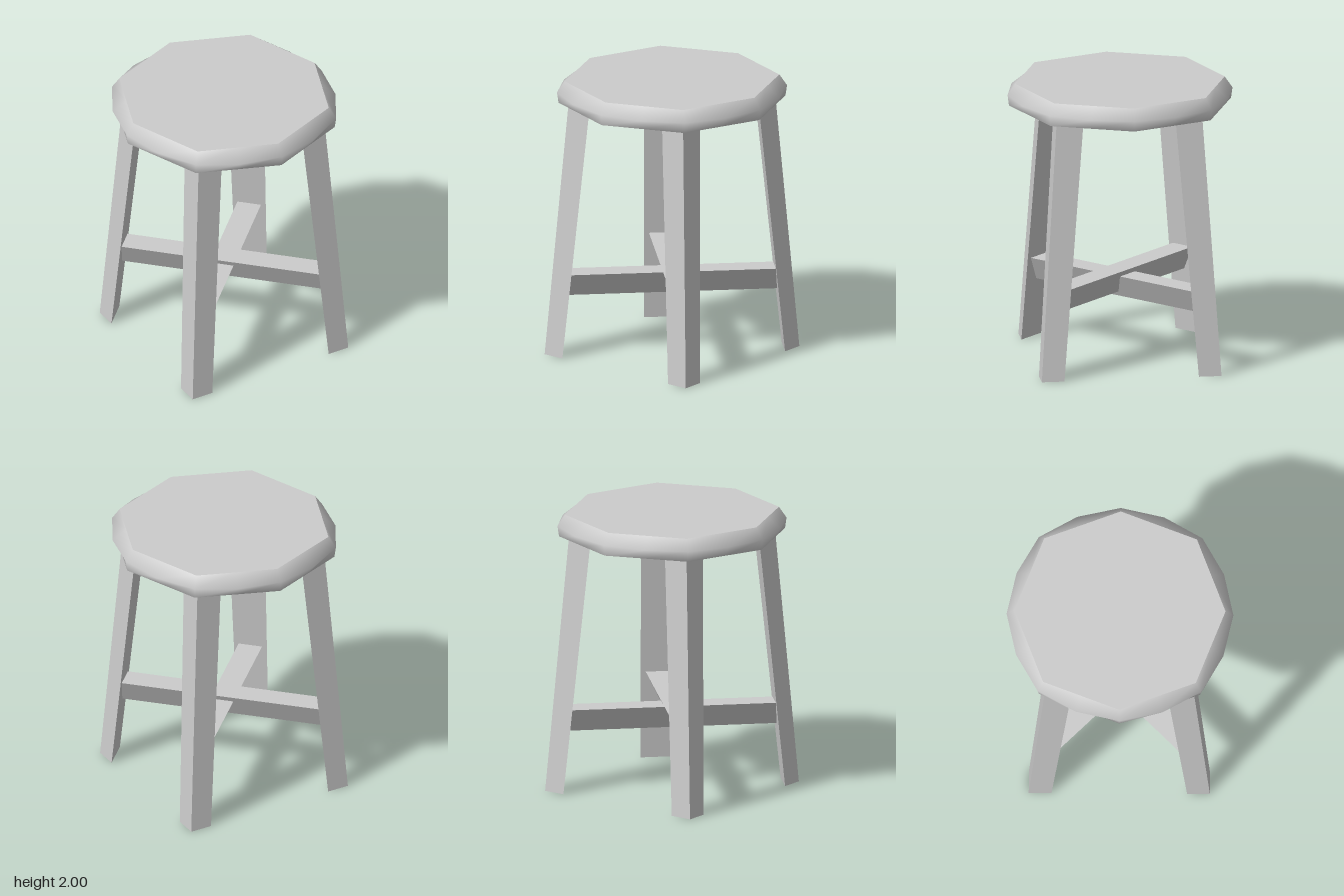
import * as THREE from 'three';
import { ConvexGeometry } from 'three/addons/geometries/ConvexGeometry.js';

const material = new THREE.MeshStandardMaterial({ color: 0xcccccc });

function addPart(parent, geometry, name) {
  const mesh = new THREE.Mesh(geometry, material);
  mesh.name = name;
  parent.add(mesh);
  return mesh;
}

// Octagon corners, slightly further out on the diagonals
function octagon(onAxis, onDiagonal) {
  return Array.from({ length: 8 }, (_, i) => {
    const a = (i * Math.PI) / 4;
    const r = i % 2 ? onDiagonal : onAxis;
    return new THREE.Vector2(r * Math.sin(a), r * Math.cos(a));
  });
}

// Insert a point in each octagon edge, scaled outward by bulge
function sixteen(corners, bulge) {
  return corners.flatMap((p, i) => {
    const mid = p.clone().add(corners[(i + 1) % 8]).multiplyScalar(0.5 * bulge);
    return [p, mid];
  });
}

function createSeat() {
  const seat = new THREE.Group();
  seat.name = 'seat';
  const top = octagon(0.74, 0.757);
  const bottom = octagon(0.785, 0.8);
  const middle = octagon(0.795, 0.811);

  // Rounded rim: octagonal edges with a fuller ring between them
  const rings = [
    [1.845, sixteen(bottom, 1)],
    [1.92, sixteen(middle, 1.062)],
    [2, sixteen(top, 1)],
  ];
  const positions = [];
  const index = [];
  rings.forEach(([y, ring]) => ring.forEach((p) => positions.push(p.x, y, p.y)));
  for (let r = 0; r < 2; r++) {
    for (let i = 0; i < 16; i++) {
      const a = r * 16 + i;
      const b = r * 16 + ((i + 1) % 16);
      index.push(a, b, b + 16, a, b + 16, a + 16);
    }
  }
  const rim = new THREE.BufferGeometry();
  rim.setAttribute('position', new THREE.Float32BufferAttribute(positions, 3));
  rim.setIndex(index);
  rim.computeVertexNormals();
  addPart(seat, rim, 'seatRim');

  // Flat faces
  const topFace = new THREE.ShapeGeometry(new THREE.Shape(top));
  addPart(seat, topFace.rotateX(-Math.PI / 2).translate(0, 2, 0), 'seatTop');
  const underside = new THREE.ShapeGeometry(new THREE.Shape(bottom));
  addPart(seat, underside.rotateX(Math.PI / 2).translate(0, 1.845, 0), 'seatUnderside');
  return seat;
}

// Splayed three-sided leg with its square corner facing outward
function createLeg(sx, sz) {
  const points = [];
  for (const [y, inner, outer] of [[0, 0.475, 0.635], [1.85, 0.325, 0.515]]) {
    for (const [x, z] of [[outer, outer], [inner, outer], [outer, inner]]) {
      points.push(new THREE.Vector3(sx * x, y, sz * z));
    }
  }
  return new ConvexGeometry(points);
}

// Three-sided bar along x, flat on top and pointed below
function createStretcher(top, bottom) {
  const points = [];
  for (const x of [-0.745, 0.745]) {
    points.push(new THREE.Vector3(x, top, -0.085));
    points.push(new THREE.Vector3(x, top, 0.085));
    points.push(new THREE.Vector3(x, bottom, 0));
  }
  return new ConvexGeometry(points);
}

export function createModel() {
  const stool = new THREE.Group();
  stool.name = 'stool';
  stool.add(createSeat());

  for (const [sz, end] of [[1, 'front'], [-1, 'back']]) {
    for (const [sx, side] of [[1, 'Left'], [-1, 'Right']]) {
      addPart(stool, createLeg(sx, sz), `${end}${side}Leg`);
    }
  }

  // Crossed stretchers, one set a little higher
  const lower = addPart(stool, createStretcher(0.6, 0.43), 'lowerStretcher');
  lower.rotation.y = Math.PI / 4;
  const upper = addPart(stool, createStretcher(0.64, 0.465), 'upperStretcher');
  upper.rotation.y = -Math.PI / 4;
  return stool;
}
